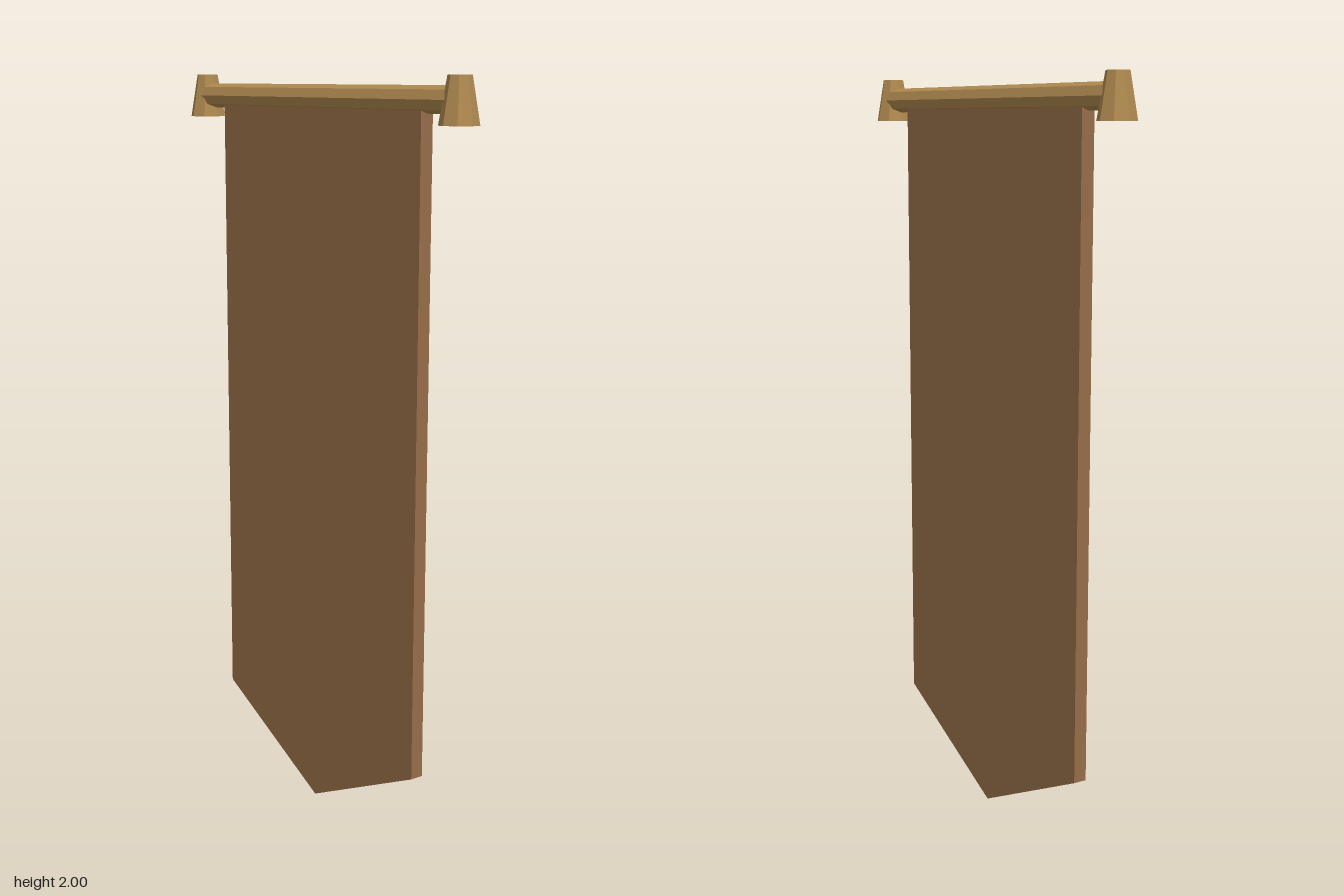
import * as THREE from 'three';

export function createModel() {
  const model = new THREE.Group();
  const cloth = new THREE.MeshStandardMaterial({ color: 0x966d48 });
  const wood = new THREE.MeshStandardMaterial({ color: 0xb08a50 });
  cloth.name = 'brown cloth';
  wood.name = 'golden wood';
  cloth.flatShading = wood.flatShading = true;

  const add = (name, geometry, material) => {
    const mesh = new THREE.Mesh(geometry, material);
    mesh.name = name;
    model.add(mesh);
    return mesh;
  };

  // Hanging cloth with a pointed lower edge
  const depth = 0.036;
  const outline = new THREE.Shape([
    new THREE.Vector2(-0.43, 1.935),
    new THREE.Vector2(-0.43, 0.21),
    new THREE.Vector2(0, 0),
    new THREE.Vector2(0.43, 0.21),
    new THREE.Vector2(0.43, 1.935),
  ]);
  const banner = new THREE.ExtrudeGeometry(outline, { depth, bevelEnabled: false });
  add('bannerCloth', banner.translate(0, 0, -depth / 2), cloth);

  // Horizontal rod
  const rod = add('rod', new THREE.CylinderGeometry(0.033, 0.033, 1.09, 8), wood);
  rod.rotation.z = Math.PI / 2;
  rod.position.y = 1.943;

  // Tapered end caps
  for (const [name, side] of [['leftCap', 1], ['rightCap', -1]]) {
    const cap = add(name, new THREE.CylinderGeometry(0.029, 0.049, 0.115, 8), wood);
    cap.position.set(side * 0.546, 1.9425, 0);
  }

  return model;
}
